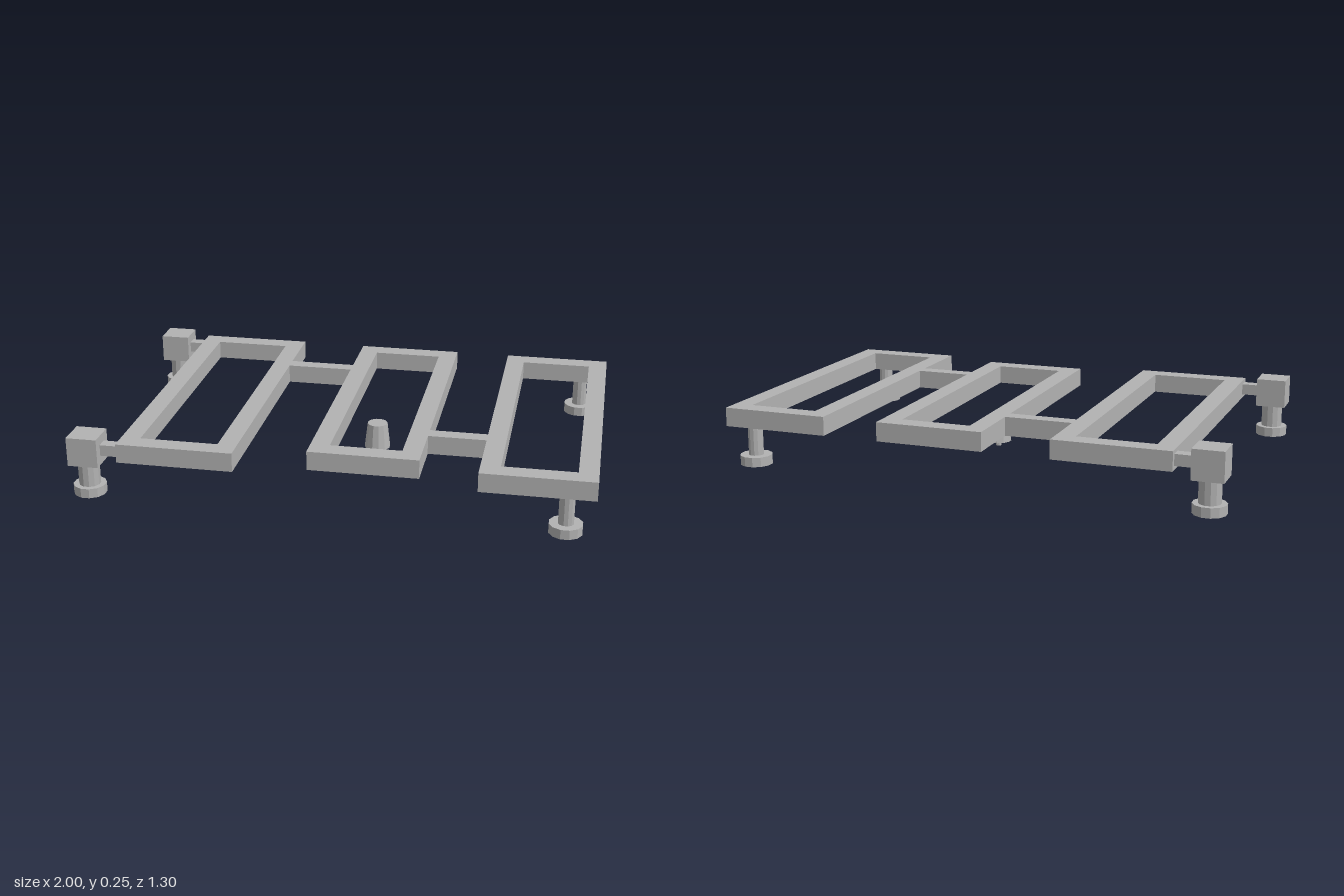
import * as THREE from 'three';

export function createModel() {
  const model = new THREE.Group();
  const grey = new THREE.MeshStandardMaterial({ color: 0xb2b2b2, flatShading: true });
  grey.name = 'grey';
  const BOTTOM = 0.15, TOP = 0.225;

  const add = (name, geometry, parent = model) => {
    const mesh = new THREE.Mesh(geometry, grey);
    mesh.name = name;
    parent.add(mesh);
    return mesh;
  };

  // box given by its limits on each axis
  const box = (name, x0, x1, y0, y1, z0, z1, parent) =>
    add(name, new THREE.BoxGeometry(x1 - x0, y1 - y0, z1 - z0), parent)
      .position.set((x0 + x1) / 2, (y0 + y1) / 2, (z0 + z1) / 2);

  // upright faceted cylinder or cone between two heights
  const post = (name, x, z, rTop, rBottom, y0, y1, parent) => {
    const g = new THREE.CylinderGeometry(rTop, rBottom, y1 - y0, 12);
    g.rotateY(Math.PI / 12);
    add(name, g, parent).position.set(x, (y0 + y1) / 2, z);
  };

  // rectangular frame with an open middle
  const frame = (name, x0, x1, z0, z1) => {
    const w = 0.075;
    const rect = (P, a, b, c, d) => new P([
      new THREE.Vector2(a, c), new THREE.Vector2(b, c),
      new THREE.Vector2(b, d), new THREE.Vector2(a, d)]);
    const shape = rect(THREE.Shape, x0, x1, z0, z1);
    shape.holes.push(rect(THREE.Path, x0 + w, x1 - w, z0 + w, z1 - w));
    const g = new THREE.ExtrudeGeometry(shape, { depth: TOP - BOTTOM, bevelEnabled: false });
    g.rotateX(Math.PI / 2);
    add(name, g).position.y = TOP;
  };

  // three frames joined by two bridges
  frame('rightFrame', -0.81, -0.355, -0.635, 0.625);
  frame('middleFrame', -0.085, 0.342, -0.627, 0.555);
  frame('leftFrame', 0.567, 0.998, -0.625, 0.625);
  box('backBridge', -0.355, -0.085, BOTTOM, TOP, -0.38, -0.322);
  box('frontBridge', 0.342, 0.567, BOTTOM, TOP, 0.267, 0.325);

  for (const [side, z] of [['Front', 0.587], ['Back', -0.591]]) {
    // outrigger foot with a cube head and a short arm to the frame
    const outrigger = new THREE.Group();
    outrigger.name = 'outrigger' + side;
    model.add(outrigger);
    box('cubeHead', -0.998, -0.878, 0.13, 0.245, z - 0.059, z + 0.059, outrigger);
    box('arm', -0.878, -0.81, 0.166, 0.21, z - 0.023, z + 0.023, outrigger);
    post('thickPost', -0.937, z, 0.042, 0.042, 0.038, 0.13, outrigger);
    post('footDisc', -0.937, z, 0.064, 0.064, 0, 0.038, outrigger);

    // plain foot under the left frame
    const foot = new THREE.Group();
    foot.name = 'foot' + side;
    model.add(foot);
    post('thinPost', 0.89, Math.sign(z) * 0.59, 0.03, 0.03, 0.038, BOTTOM, foot);
    post('footDisc', 0.89, Math.sign(z) * 0.59, 0.064, 0.064, 0, 0.038, foot);
  }

  // separate tapered cup on a small stem
  post('cup', 0.09, 0, 0.041, 0.053, 0.021, 0.125);
  post('cupStem', 0.09, 0, 0.012, 0.012, 0, 0.021);

  return model;
}
